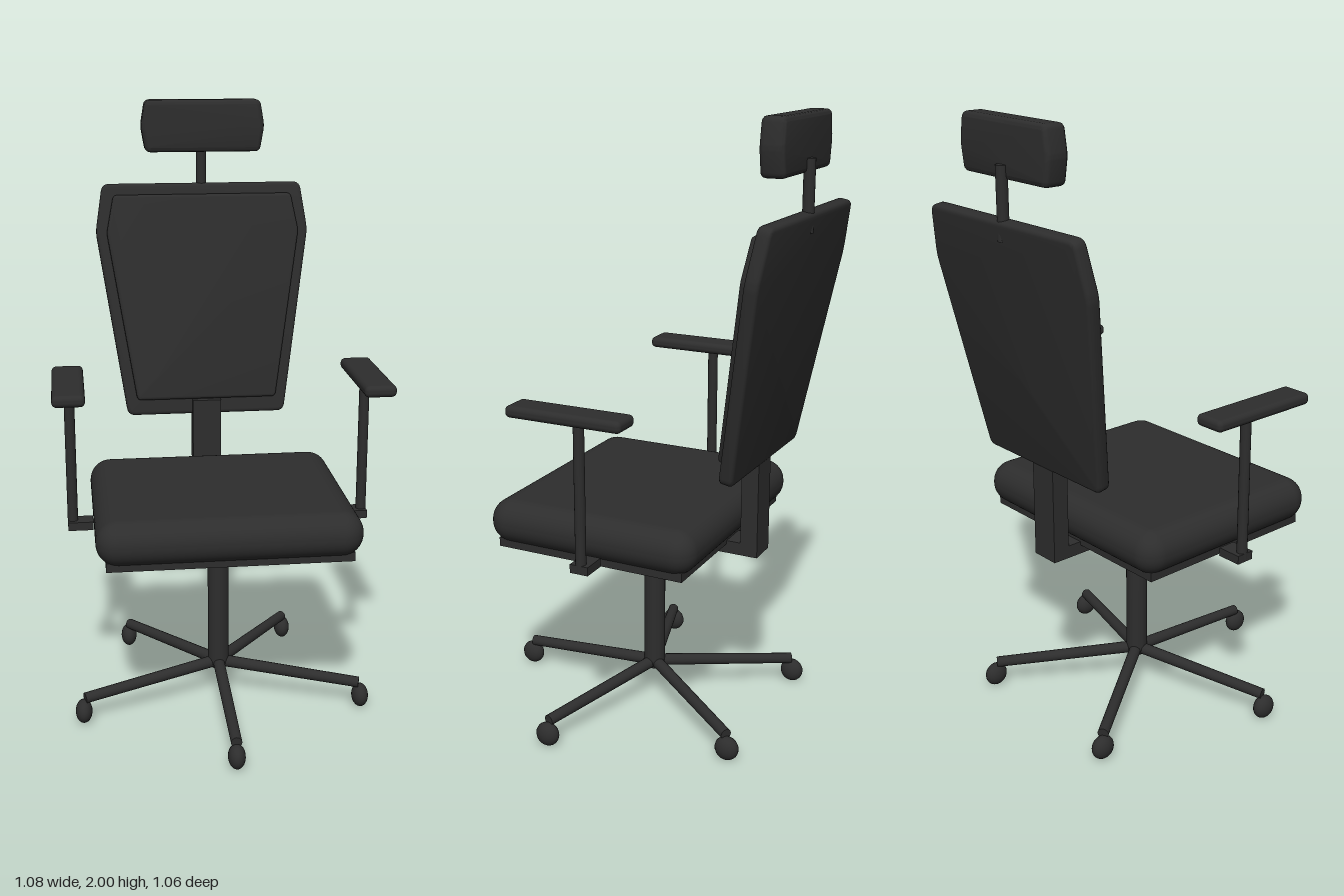
import * as THREE from 'three';
import { RoundedBoxGeometry } from 'three/addons/geometries/RoundedBoxGeometry.js';
import { toCreasedNormals } from 'three/addons/utils/BufferGeometryUtils.js';

export function createModel() {
  const chair = new THREE.Group();
  chair.name = 'officeChair';
  const charcoal = new THREE.MeshStandardMaterial({ color: 0x2d2d2d });
  charcoal.name = 'charcoal';

  function add(name, geometry, x, y, z, parent = chair) {
    const mesh = new THREE.Mesh(geometry, charcoal);
    mesh.name = name;
    mesh.position.set(x, y, z);
    parent.add(mesh);
    return mesh;
  }
  const box = (w, h, d) => new THREE.BoxGeometry(w, h, d);

  // Symmetric panel from right-hand outline points (bottom to top), rounded corners and bevelled edges
  function panel(half, depth, bevel, radius) {
    const pts = [...half, ...half.map(([x, y]) => [-x, y]).reverse()]
      .map(([x, y]) => new THREE.Vector2(x, y));
    const shape = new THREE.Shape();
    pts.forEach((p, i) => {
      const prev = pts[(i + pts.length - 1) % pts.length];
      const next = pts[(i + 1) % pts.length];
      const a = p.clone().add(prev.clone().sub(p).setLength(radius));
      const b = p.clone().add(next.clone().sub(p).setLength(radius));
      if (i === 0) shape.moveTo(a.x, a.y);
      else shape.lineTo(a.x, a.y);
      shape.quadraticCurveTo(p.x, p.y, b.x, b.y);
    });
    shape.closePath();
    const geometry = new THREE.ExtrudeGeometry(shape, {
      depth: depth - 2 * bevel, bevelSize: bevel, bevelThickness: bevel,
      bevelOffset: -bevel, bevelSegments: 3, curveSegments: 5,
    });
    geometry.translate(0, 0, bevel - depth / 2);
    return toCreasedNormals(geometry, 0.6);
  }

  // Cylinder between two points
  function rod(name, from, to, r0, r1) {
    const dir = to.clone().sub(from);
    const mid = from.clone().add(to).multiplyScalar(0.5);
    const mesh = add(name, new THREE.CylinderGeometry(r1, r0, dir.length(), 16), mid.x, mid.y, mid.z);
    mesh.quaternion.setFromUnitVectors(new THREE.Vector3(0, 1, 0), dir.normalize());
    return mesh;
  }

  // Five-star base with casters
  for (let i = 0; i < 5; i++) {
    const a = Math.PI / 2 + (i * Math.PI * 2) / 5;
    const c = Math.cos(a), s = Math.sin(a);
    rod('baseLeg', new THREE.Vector3(0, 0.125, 0), new THREE.Vector3(c * 0.49, 0.088, s * 0.49), 0.02, 0.018);
    const caster = add('caster', new THREE.SphereGeometry(0.04, 20, 14), c * 0.495, 0.042, s * 0.495);
    caster.scale.set(0.7, 1, 1);
  }

  // Column, tilt mechanism and seat
  add('column', new THREE.CylinderGeometry(0.036, 0.036, 0.47, 24), 0, 0.355, 0);
  add('hub', new THREE.CylinderGeometry(0.034, 0.026, 0.025, 24), 0, 0.115, 0);
  add('tiltMechanism', box(0.39, 0.055, 0.355), 0, 0.607, 0.012);
  add('seatPlate', box(0.78, 0.03, 0.65), 0, 0.645, 0.04);
  add('seatCushion', new RoundedBoxGeometry(0.84, 0.145, 0.72, 6, 0.07), 0, 0.715, 0.04);

  // L-shaped support for the back
  add('backSupportArm', box(0.1, 0.042, 0.185), 0, 0.621, -0.298);
  add('backSupportPost', box(0.1, 0.37, 0.058), 0, 0.785, -0.362);

  // Reclined backrest: shell with padded front
  const back = new THREE.Group();
  back.name = 'backrest';
  back.position.set(0, 0.915, -0.37);
  back.rotation.x = -THREE.MathUtils.degToRad(9.8);
  chair.add(back);
  add('backShell', panel([[0.278, 0], [0.373, 0.645], [0.347, 0.81]], 0.046, 0.012, 0.025), 0, 0, 0, back);
  add('backCushion', panel([[0.245, 0.055], [0.336, 0.64], [0.31, 0.77]], 0.045, 0.01, 0.015), 0, 0, 0.026, back);

  // Headrest on its post
  add('headrestPost', new THREE.CylinderGeometry(0.018, 0.018, 0.22, 16), 0, 1.76, -0.507);
  add('headrest', panel([[0.197, -0.087], [0.212, 0], [0.197, 0.087]], 0.077, 0.015, 0.018), 0, 1.913, -0.466);

  // Armrests on both sides
  for (const side of [1, -1]) {
    const arm = new THREE.Group();
    arm.name = side > 0 ? 'leftArmrest' : 'rightArmrest';
    chair.add(arm);
    add('armBracket', box(0.083, 0.028, 0.062), side * 0.4605, 0.658, 0.008, arm);
    add('armPost', new THREE.CylinderGeometry(0.017, 0.017, 0.48, 16), side * 0.486, 0.89, 0.009, arm);
    add('armPad', new RoundedBoxGeometry(0.103, 0.038, 0.39, 4, 0.016), side * 0.488, 1.14, 0.04, arm);
  }
  return chair;
}
